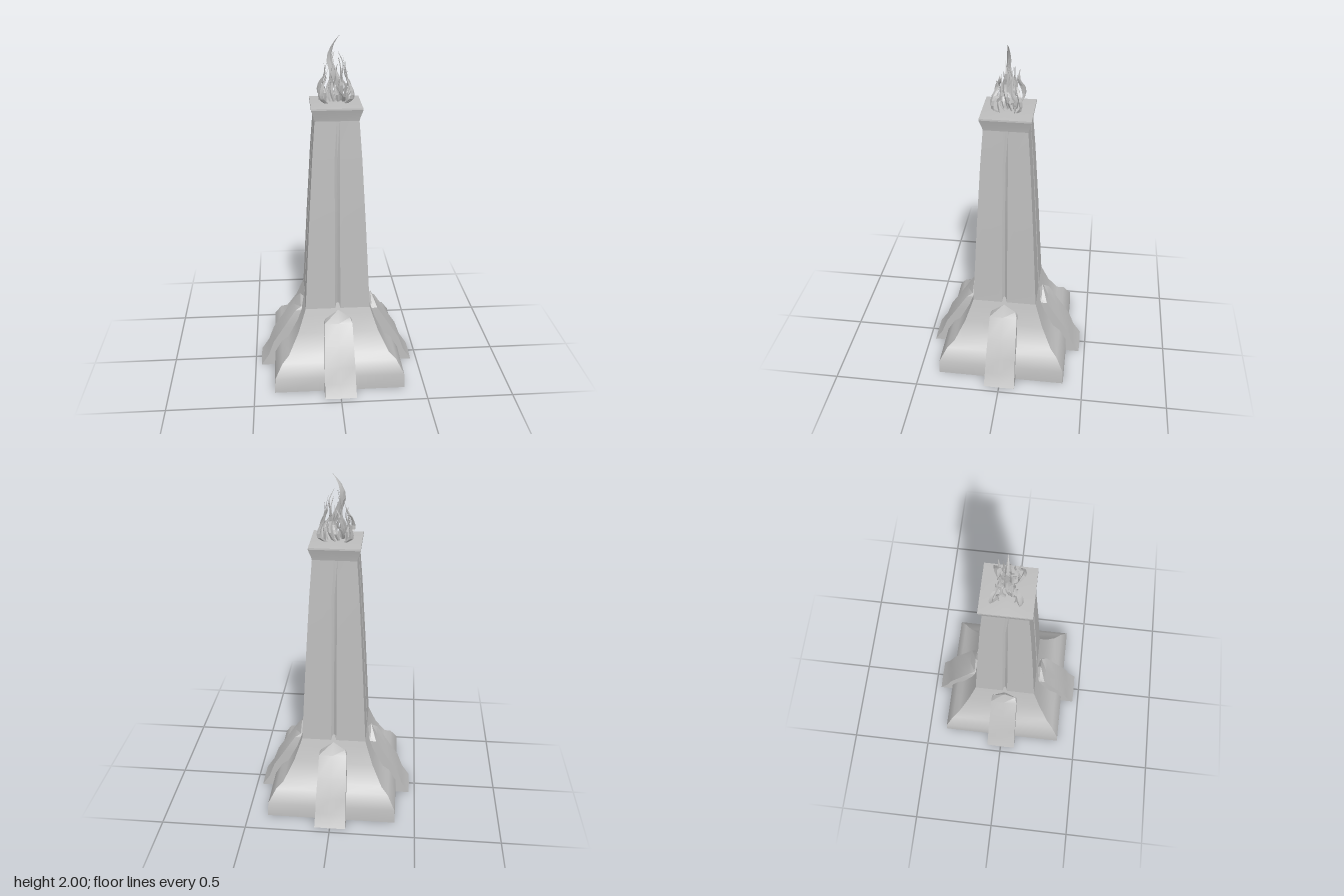
import * as THREE from 'three';
import { toCreasedNormals } from 'three/addons/utils/BufferGeometryUtils.js';

const stone = new THREE.MeshStandardMaterial({ color: 0xbcbcbc });
stone.name = 'pale stone';

// Skins a stack of rings (counterclockwise from above) and closes both ends on a centre point.
function loft(rings, crease = 0.5, topRise = 0) {
  const n = rings[0].length, pos = [], idx = [];
  rings.forEach(r => r.forEach(p => pos.push(p.x, p.y, p.z)));
  const centre = (ring, rise) => {
    const c = ring.reduce((s, p) => s.add(p), new THREE.Vector3()).divideScalar(n);
    pos.push(c.x, c.y + rise, c.z);
    return pos.length / 3 - 1;
  };
  const last = rings.length - 1;
  const low = centre(rings[0], 0), high = centre(rings[last], topRise);
  for (let j = 0; j < n; j++) {
    const k = (j + 1) % n;
    for (let i = 0; i < last; i++) {
      const a = i * n + j, b = i * n + k;
      idx.push(a, b, b + n, a, b + n, a + n);
    }
    idx.push(low, k, j, high, last * n + j, last * n + k);
  }
  const geo = new THREE.BufferGeometry();
  geo.setAttribute('position', new THREE.Float32BufferAttribute(pos, 3));
  geo.setIndex(idx);
  return toCreasedNormals(geo, crease);
}

// A point given by side number, distance outward, offset along the side and height.
function sidePoint(k, out, along, y) {
  const c = Math.cos(k * Math.PI / 2), s = Math.sin(k * Math.PI / 2);
  return new THREE.Vector3(out * c - along * s, y, -out * s - along * c);
}

// Square ring with a narrow groove down the middle of every side.
function squareRing(h, y, groove = 0) {
  const ring = [];
  for (let k = 0; k < 4; k++) {
    ring.push(sidePoint(k, h, -h, y), sidePoint(k, h, -0.015, y),
      sidePoint(k, h - groove, 0, y), sidePoint(k, h, 0.015, y));
  }
  return ring;
}

// Flame tongue: a twisting, flattened four-sided strand along a curve.
function tongue(points, width, twist) {
  const curve = new THREE.CatmullRomCurve3(points.map(p => new THREE.Vector3(...p)));
  const rings = [], steps = 9;
  for (let i = 0; i <= steps; i++) {
    const t = i / steps, c = curve.getPoint(t), ring = [];
    const w = width * (0.55 + 1.6 * t * (1 - t)) * (1 - t ** 3) + 0.0008;
    for (let j = 0; j < 4; j++) {
      const a = j * Math.PI / 2, f = twist * t;
      const u = Math.cos(a) * w, v = Math.sin(a) * w * 0.45;
      ring.push(new THREE.Vector3(c.x + u * Math.cos(f) - v * Math.sin(f), c.y,
        c.z - u * Math.sin(f) - v * Math.cos(f)));
    }
    rings.push(ring);
  }
  return loft(rings, 0.3);
}

export function createModel() {
  const model = new THREE.Group();
  model.name = 'flameTower';
  const add = (parent, name, geo) => {
    const mesh = new THREE.Mesh(geo, stone);
    mesh.name = name;
    parent.add(mesh);
  };

  // Stepped, sloping plinth
  add(model, 'plinth', loft([[0.382, 0], [0.378, 0.09], [0.335, 0.165], [0.295, 0.195],
    [0.235, 0.31], [0.2, 0.41], [0.18, 0.47]].map(([h, y]) => squareRing(h, y))));

  // Tapering shaft with grooved faces
  add(model, 'shaft', loft([[0.192, 0.4, 0.018], [0.186, 0.5, 0.018], [0.162, 0.95, 0.015],
    [0.138, 1.35, 0.01], [0.122, 1.56, 0]].map(([h, y, g]) => squareRing(h, y, g))));

  // Flared cap with a slightly raised top
  add(model, 'cap', loft([[0.12, 1.55], [0.125, 1.575], [0.141, 1.625], [0.14, 1.634]]
    .map(([h, y]) => squareRing(h, y)), 0.4, 0.012));

  // Four buttresses, each ending in a pointed top
  const profile = [[0.464, 0, 0.092], [0.418, 0.07, 0.09], [0.385, 0.16, 0.088],
    [0.32, 0.26, 0.085], [0.25, 0.37, 0.082]];
  for (let k = 0; k < 4; k++) {
    const rings = profile.map(([r, y, w]) => [
      sidePoint(k, 0.12, -w, y), sidePoint(k, r, -w, y), sidePoint(k, r + 0.002, 0, y),
      sidePoint(k, r, w, y), sidePoint(k, 0.12, w, y)]);
    rings.push([sidePoint(k, 0.12, -0.075, 0.39), sidePoint(k, 0.215, -0.07, 0.39),
      sidePoint(k, 0.215, 0, 0.445), sidePoint(k, 0.215, 0.07, 0.39),
      sidePoint(k, 0.12, 0.075, 0.39)]);
    add(model, 'buttress', loft(rings));
  }

  // Flame: tall leaning centre tongue, corner tongues and an inner tangle
  const flame = new THREE.Group();
  flame.name = 'flame';
  model.add(flame);
  add(flame, 'tallTongue', tongue([[0.01, 1.64, 0], [0.025, 1.72, 0.01], [-0.01, 1.8, 0.01],
    [-0.035, 1.88, 0], [-0.015, 1.95, 0], [0.022, 2.0, 0]], 0.026, 1.2));
  for (let i = 0; i < 4; i++) {
    const sx = i % 2 ? 1 : -1, sz = i < 2 ? 1 : -1, top = 1.8 + 0.02 * i;
    add(flame, 'cornerTongue', tongue([[sx * 0.05, 1.638, sz * 0.05], [sx * 0.085, 1.675, sz * 0.075],
      [sx * 0.08, 1.73, sz * 0.07], [sx * 0.055, 1.78, sz * 0.05], [sx * 0.06, top, sz * 0.055]],
    0.017, sx * 2));
    add(flame, 'cornerWisp', tongue([[sx * 0.06, 1.638, sz * 0.04], [sx * 0.06, 1.7, sz * 0.05],
      [sx * 0.07, 1.74, sz * 0.03], [sx * 0.04, top + 0.03, sz * 0.03]], 0.01, sz * 2));
  }
  for (let i = 0; i < 11; i++) {
    const a = i * 2.4, r = 0.025 + 0.02 * (i % 3) / 2, h = 0.17 + 0.035 * ((i * 3) % 4);
    const at = (q, s, t) => [r * s * Math.cos(a + q), 1.638 + h * t, r * s * Math.sin(a + q)];
    add(flame, 'innerTongue', tongue([at(0, 1, 0), at(0.5, 1.4, 0.25), at(1.1, 0.8, 0.5),
      at(0.7, 0.95, 0.75), at(1.3, 0.4, 1)], 0.013, i % 2 ? 2.5 : -2.5));
  }
  return model;
}
